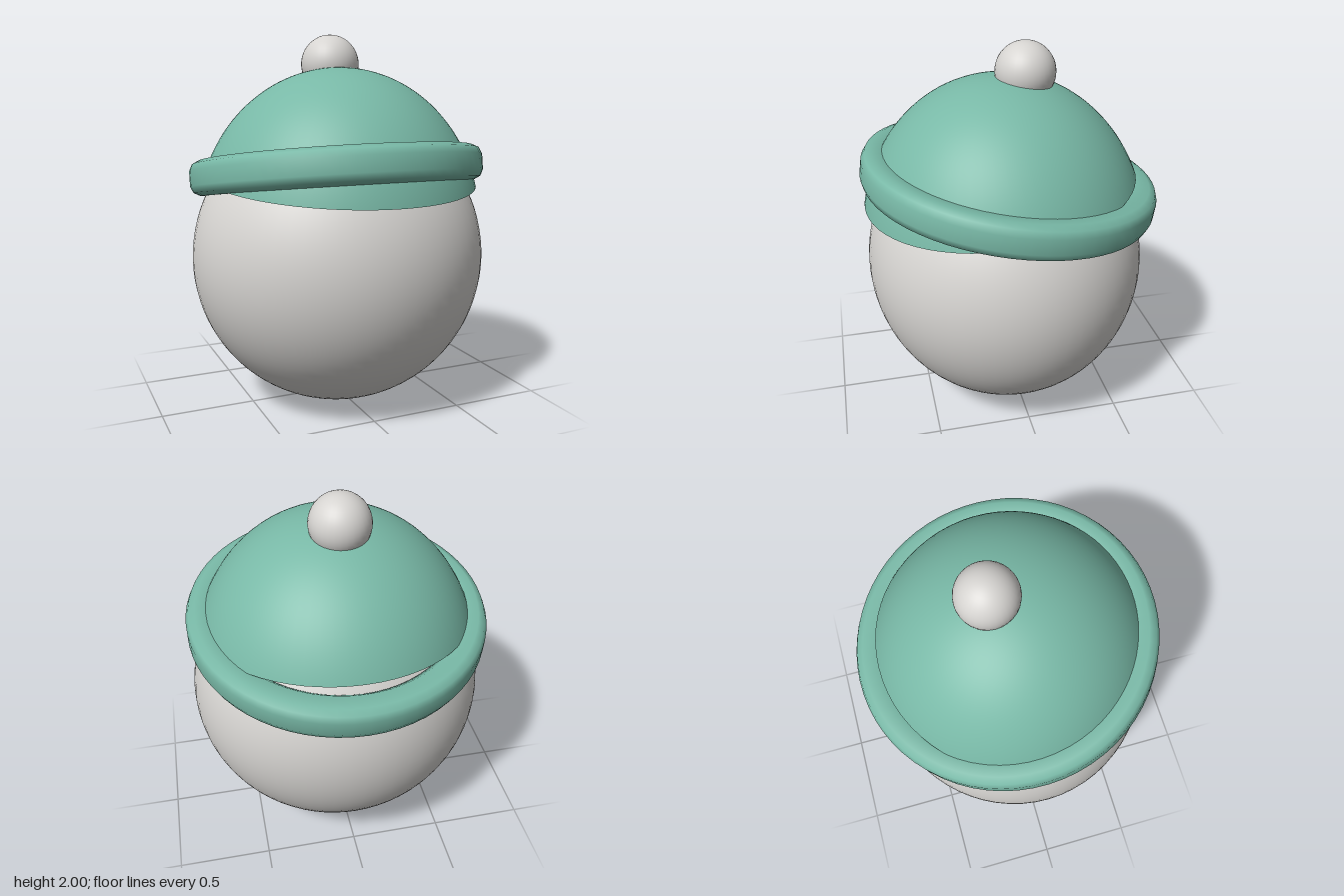
import * as THREE from 'three';

export function createModel() {
  const model = new THREE.Group();
  const pale = new THREE.MeshStandardMaterial({ color: 0xd6d4d1 });
  pale.name = 'pale grey';
  const green = new THREE.MeshStandardMaterial({ color: 0x78b8a6, side: THREE.DoubleSide });
  green.name = 'soft green';

  function add(name, geometry, material, y, z, tilt = 0) {
    const mesh = new THREE.Mesh(geometry, material);
    mesh.name = name;
    mesh.position.set(0, y, z);
    mesh.rotation.x = tilt;
    model.add(mesh);
    return mesh;
  }

  // Round body, slightly flattened front to back
  add('body', new THREE.SphereGeometry(1, 64, 48), pale, 0.805, 0.03).scale.set(0.8, 0.8, 0.755);

  // Open cap shell, tipped forward
  const cap = new THREE.SphereGeometry(1, 64, 32, 0, Math.PI * 2, 0, Math.PI * 0.4);
  add('cap', cap, green, 0.977, 0.029, 0.1).scale.set(0.77, 0.847, 0.767);

  // Brim band with a rounded section, tipped backward
  const section = [
    [0.632, -0.06], [0.665, -0.093], [0.745, -0.093], [0.78, -0.075], [0.795, -0.04],
    [0.795, 0.04], [0.78, 0.075], [0.745, 0.093], [0.665, 0.093], [0.632, 0.06], [0.632, -0.06],
  ].map(([r, y]) => new THREE.Vector2(r, y));
  add('brim', new THREE.LatheGeometry(section, 64), green, 1.262, 0, -0.153);

  // Bobble on top
  add('bobble', new THREE.SphereGeometry(0.158, 32, 24), pale, 1.842, -0.084);

  return model;
}
